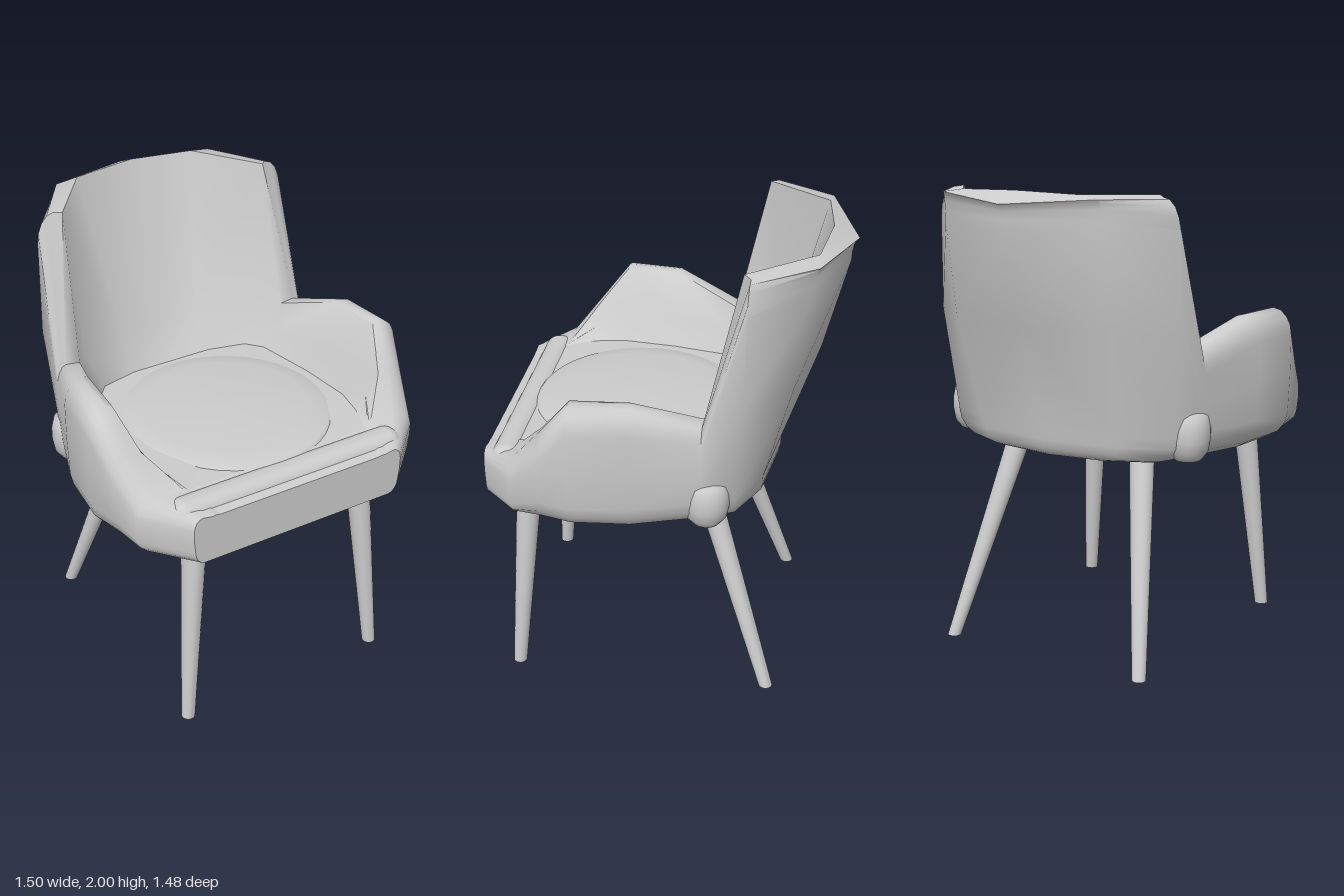
import * as THREE from 'three';
import { toCreasedNormals } from 'three/addons/utils/BufferGeometryUtils.js';
import { RoundedBoxGeometry } from 'three/addons/geometries/RoundedBoxGeometry.js';

const BASE = 0.885, SEAT = 1.15, STEPS = 4;
const { lerp } = THREE.MathUtils;
const mirror = ([x, y, z]) => [-x, y, z];

// Quarter-round from a to b; leaves sideways when fromFlat, otherwise upwards
function quarter(a, b, fromFlat) {
  return Array.from({ length: STEPS + 1 }, (_, i) => {
    const angle = i / STEPS * Math.PI / 2;
    const fast = Math.sin(angle), slow = 1 - Math.cos(angle);
    const across = fromFlat ? fast : slow, up = fromFlat ? slow : fast;
    return [lerp(a[0], b[0], across), lerp(a[1], b[1], up), lerp(a[2], b[2], across)];
  });
}

// Backrest section, leaning backwards
function backSection(base, side, rim, inner, wall, seat) {
  const bulge = [lerp(base[0], side[0], .7), 1, lerp(base[1], side[1], .2)];
  const shoulder = [lerp(side[0], rim[0], .1), 1.85, lerp(side[1], rim[2], .78)];
  return [
    ...quarter([base[0], BASE, base[1]], bulge, true),
    [side[0], 1.45, side[1]],
    ...quarter(shoulder, rim, false),
    inner,
    [wall[0], 1.3, wall[1]],
    [seat[0], SEAT, seat[1]],
  ];
}

// Armrest section, standing in a plane of constant z
function armSection(z, top, base, side, rim, inner, seat) {
  const floor = Math.min(SEAT, top - .01);
  const low = BASE + Math.min(.13, (top - BASE) * .3);
  const high = top - Math.min(.11, (top - BASE) * .25);
  return [
    ...quarter([base, BASE, z], [side * .99, low, z], true),
    [side, lerp(low, high, .5), z],
    ...quarter([side, high, z], [rim, top, z], false),
    [inner, top - .008, z],
    [lerp(seat, inner, .45), lerp(floor, top, .37), z],
    [seat, floor, z],
  ];
}

function surface(triangles, crease) {
  const geometry = new THREE.BufferGeometry();
  geometry.setAttribute('position', new THREE.Float32BufferAttribute(triangles.flat(2), 3));
  return toCreasedNormals(geometry, crease);
}

// Skin between neighbouring sections, with mirrored diagonals on the two halves
function skin(rows) {
  const tris = [];
  for (let i = 0; i < rows.length - 1; i++) {
    for (let j = 0; j < rows[i].length - 1; j++) {
      const a = rows[i][j], b = rows[i + 1][j], c = rows[i + 1][j + 1], d = rows[i][j + 1];
      if (i < (rows.length - 1) / 2) tris.push([a, b, c], [a, c, d]);
      else tris.push([a, b, d], [b, c, d]);
    }
  }
  return surface(tris, 1);
}

// Fan that closes a loop of points
function cap(loop, centre) {
  return surface(loop.map((p, i) => [centre, p, loop[(i + 1) % loop.length]]), 0.6);
}

function lathe(profile) {
  return new THREE.LatheGeometry(profile.map(p => new THREE.Vector2(...p)), 40);
}

// Tapered leg, sheared so that both ends stay level
function legGeometry(top, foot) {
  const height = 0.91;
  const geometry = new THREE.CylinderGeometry(.055, .03, height, 20);
  geometry.translate(0, height / 2, 0);
  const p = geometry.attributes.position;
  for (let i = 0; i < p.count; i++) {
    const t = p.getY(i) / height;
    p.setX(i, p.getX(i) + lerp(foot[0], top[0], t));
    p.setZ(i, p.getZ(i) + lerp(foot[1], top[1], t));
  }
  return toCreasedNormals(geometry, 0.8);
}

export function createModel() {
  const chair = new THREE.Group();
  chair.name = 'chair';
  const grey = new THREE.MeshStandardMaterial({ color: 0xcccccc, side: THREE.DoubleSide });
  grey.name = 'lightGrey';

  const add = (name, geometry) => {
    const mesh = new THREE.Mesh(geometry, grey);
    mesh.name = name;
    chair.add(mesh);
    return mesh;
  };

  // Wrap-around back and arms: left half from front to back centre, then mirrored
  const half = [
    armSection(.74, 1.105, .45, .5, .46, .42, .38),
    armSection(.585, 1.145, .53, .67, .57, .45, .43),
    armSection(.46, 1.3, .56, .71, .625, .575, .465),
    armSection(.33, 1.465, .58, .748, .66, .63, .49),
    armSection(.09, 1.465, .57, .72, .64, .61, .47),
    armSection(-.19, 1.36, .48, .62, .575, .51, .42),
    backSection([.42, -.31], [.6, -.35], [.515, 1.975, -.36], [.485, 1.98, -.33], [.43, -.29], [.36, -.26]),
    backSection([.26, -.385], [.38, -.53], [.375, 1.975, -.61], [.28, 1.99, -.6], [.19, -.41], [.19, -.3]),
    backSection([0, -.42], [0, -.61], [0, 1.95, -.74], [0, 1.998, -.635], [0, -.41], [0, -.3]),
  ];
  const rows = [...half, ...half.slice(0, -1).reverse().map(s => s.map(mirror))];
  add('shell', skin(rows));

  // Seat, front ledge, underside and flat front panel
  const seatEdge = rows.map(r => r.at(-1));
  add('seat', cap(seatEdge.slice(1, -1), [0, SEAT, .17]));
  add('frontLedge', cap([...seatEdge.slice(0, 2), ...seatEdge.slice(-2)], [0, 1.115, .66]));
  add('underside', cap(rows.map(r => r[0]).reverse(), [0, BASE, .1]));
  const front = rows[0];
  add('frontPanel', cap([...front, ...front.map(mirror).reverse()], [0, 1, .74]));

  // Low domed cushion
  const cushion = add('cushion', lathe([[1, 1.135], [.97, 1.15], [.8, 1.163], [.4, 1.175], [0, 1.18]]));
  cushion.scale.set(.45, 1, .455);
  cushion.position.z = .165;

  // Padded roll sunk into the front of the seat
  const roll = add('frontRoll', new RoundedBoxGeometry(1.1, .12, .13, 6, .058));
  roll.position.set(0, 1.083, .64);

  for (const side of [1, -1]) {
    const word = side > 0 ? 'left' : 'right';

    // Rounded lump on the side above the rear leg
    const boss = add(word + 'SideBoss',
      lathe([[0, .89], [.6, .895], [.9, .93], [1, .98], [1, 1.03], [.88, 1.08], [.55, 1.106], [0, 1.112]]));
    boss.scale.set(.09, 1, .095);
    boss.position.set(side * .553, 0, -.205);

    // Splayed legs
    add(word + 'FrontLeg', legGeometry([side * .405, .575], [side * .48, .645]));
    add(word + 'RearLeg', legGeometry([side * .31, -.17], [side * .482, -.468]));
  }
  return chair;
}
